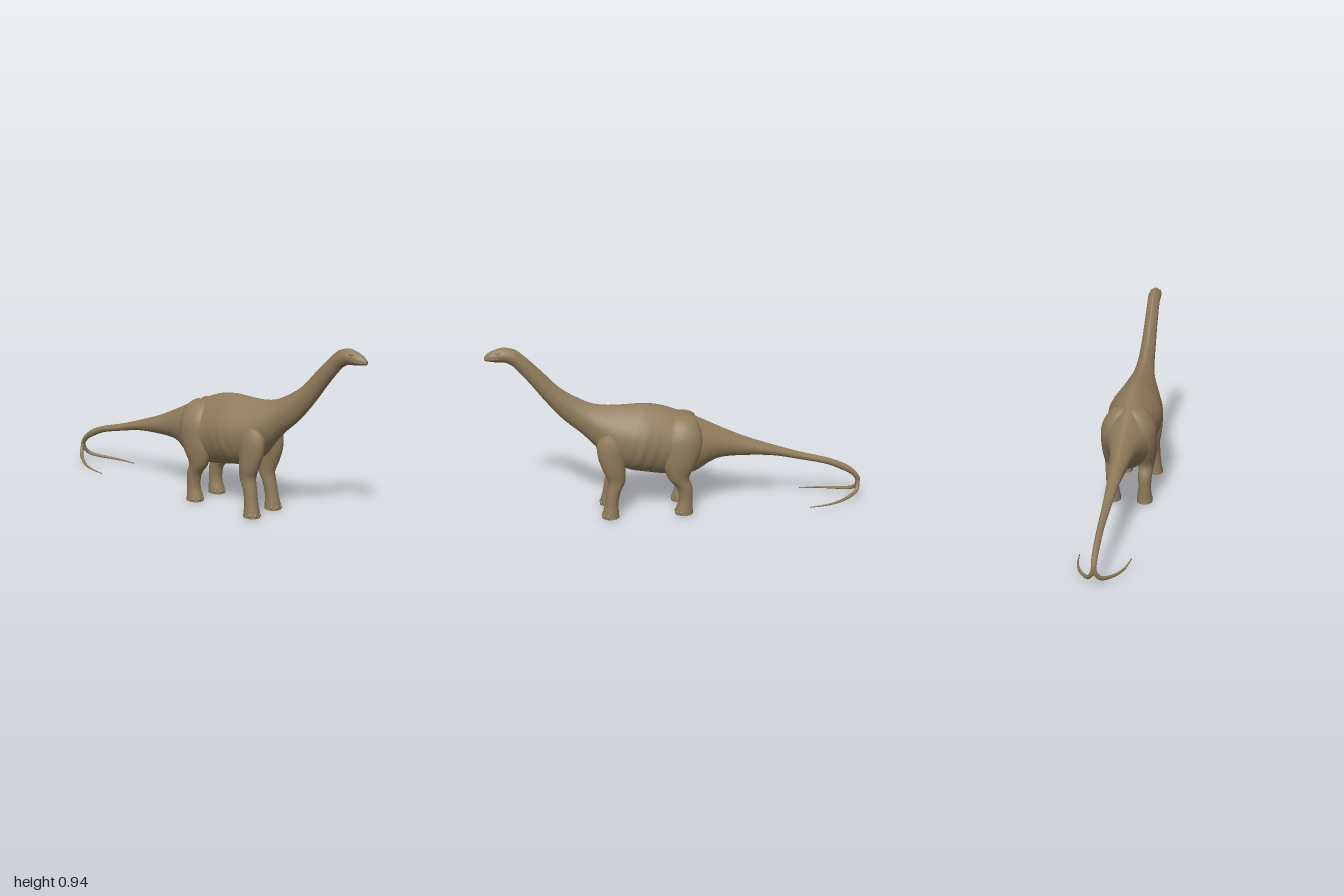
import * as THREE from 'three';

const hide = new THREE.MeshStandardMaterial({ color: 0x8f7b5a });
hide.name = 'brown hide';

// Smoothly subdivide rows of numbers (Catmull-Rom)
function refine(rows, steps) {
  const out = [];
  const last = rows.length - 1;
  for (let i = 0; i < last; i++) {
    const [a, b, c, d] = [rows[Math.max(i - 1, 0)], rows[i], rows[i + 1], rows[Math.min(i + 2, last)]];
    for (let s = 0; s < steps; s++) {
      const t = s / steps;
      out.push(b.map((p, k) => p + 0.5 * t * (c[k] - a[k]
        + t * (2 * a[k] - 5 * p + 4 * c[k] - d[k] + t * (3 * (p - c[k]) + d[k] - a[k])))));
    }
  }
  out.push(rows[last]);
  return out;
}

// Skin closed rings, each running counter-clockwise around the direction of travel
function loft(rings) {
  const n = rings[0].length, pos = [], index = [];
  rings.forEach(r => r.forEach(p => pos.push(p.x, p.y, p.z)));
  for (let i = 0; i < rings.length - 1; i++) {
    for (let j = 0; j < n; j++) {
      const a = i * n + j, b = i * n + (j + 1) % n;
      index.push(a, b, a + n, b, b + n, a + n);
    }
  }
  // End caps with their own vertices so the rims stay crisp
  [rings[0], rings[rings.length - 1]].forEach((ring, end) => {
    const base = pos.length / 3;
    const mid = ring.reduce((m, p) => m.add(p), new THREE.Vector3()).divideScalar(n);
    [...ring, mid].forEach(p => pos.push(p.x, p.y, p.z));
    for (let j = 0; j < n; j++) {
      const a = base + j, b = base + (j + 1) % n;
      if (end) index.push(base + n, a, b); else index.push(base + n, b, a);
    }
  });
  const geo = new THREE.BufferGeometry();
  geo.setAttribute('position', new THREE.Float32BufferAttribute(pos, 3));
  geo.setIndex(index);
  geo.computeVertexNormals();
  return geo;
}

function ring(n, point) {
  return Array.from({ length: n }, (_, j) => point(j / n * Math.PI * 2));
}

function add(parent, name, geo) {
  const mesh = new THREE.Mesh(geo, hide);
  mesh.name = name;
  parent.add(mesh);
  return mesh;
}

function ellipsoid(parent, name, p, r) {
  const mesh = add(parent, name, new THREE.SphereGeometry(1, 16, 12));
  mesh.position.set(...p);
  mesh.scale.set(...r);
  return mesh;
}

// Head to tail: top z, top y, bottom z, bottom y, half width
const BODY = [
  [1.0, .893, .998, .872, .010], [.975, .915, .975, .868, .023], [.945, .928, .94, .863, .031],
  [.90, .938, .905, .862, .036], [.845, .925, .875, .85, .036], [.80, .89, .845, .825, .035],
  [.72, .81, .775, .74, .037], [.63, .715, .70, .64, .041], [.55, .66, .61, .535, .047],
  [.47, .62, .52, .455, .062], [.40, .605, .445, .375, .09], [.33, .602, .37, .29, .118],
  [.26, .603, .28, .245, .138], [.19, .604, .2, .228, .147], [.1, .59, .1, .21, .137],
  [0, .553, 0, .2, .134], [-.08, .52, -.08, .215, .117], [-.15, .485, -.16, .262, .087],
  [-.23, .445, -.23, .283, .064], [-.35, .39, -.36, .284, .044], [-.5, .335, -.51, .272, .03],
  [-.65, .285, -.66, .24, .022], [-.8, .243, -.8, .205, .017], [-.9, .203, -.885, .168, .016],
  [-.965, .157, -.94, .138, .015], [-.997, .11, -.97, .105, .013], [-.996, .085, -.972, .085, .01],
];

// Leg rings from sole to hip: y, x, z, half width, half depth
const FRONT_LEG = [
  [0, .086, .383, .043, .046], [.03, .085, .382, .039, .042], [.08, .083, .376, .035, .036],
  [.14, .08, .365, .036, .037], [.2, .077, .348, .038, .046], [.26, .08, .358, .044, .058],
  [.34, .078, .37, .049, .072], [.42, .07, .365, .052, .08], [.5, .05, .35, .045, .065],
  [.54, .03, .34, .02, .03],
];
const HIND_LEG = [
  [0, .087, -.01, .042, .049], [.03, .086, -.011, .04, .045], [.08, .087, -.018, .034, .037],
  [.15, .088, -.012, .037, .042], [.21, .091, .02, .043, .056], [.28, .094, .015, .052, .083],
  [.36, .09, 0, .06, .102], [.44, .08, -.005, .062, .1], [.51, .05, -.01, .05, .075],
  [.54, .03, -.01, .02, .04],
];

function bodyGeometry() {
  return loft(refine(BODY, 6).map(([zt, yt, zb, yb, w]) => ring(40, a => {
    const c = Math.cos(a), up = Math.max(c, 0);
    const y = (yt + yb) / 2 + c * (yt - yb) / 2;
    const z = (zt + zb) / 2 + c * (zt - zb) / 2;
    // Narrow ridge along the back, shallow ribs on the flank
    const flank = Math.exp(-(((z - .2) / .09) ** 2) - ((y - .36) / .1) ** 2);
    const ribs = 1 + .022 * flank * Math.sin((z + y * .3) * 100);
    return new THREE.Vector3(w * Math.sin(a) * (1 - .45 * up * up) * ribs, y, z);
  })));
}

function leg(name, rows, side) {
  const group = new THREE.Group();
  group.name = name;
  add(group, name + 'Limb', loft(refine(rows, 5).map(([y, x, z, rx, rz]) =>
    ring(28, a => new THREE.Vector3(side * x + rx * Math.sin(a), y, z + rz * Math.cos(a))))));
  // Toes fanned around the front of the foot
  const [, x, z, rx, rz] = rows[0];
  for (const a of [-1.15, -.4, .4, 1.15]) {
    ellipsoid(group, name + 'Toe',
      [side * x + (rx - .008) * Math.sin(a), .013, z + (rz - .008) * Math.cos(a)], [.011, .013, .012]);
  }
  return group;
}

// One of the two curling tips of the forked tail
function tailTip(side) {
  const curve = new THREE.CatmullRomCurve3([
    [0, .11, -.983], [.008, .075, -.984], [.028, .045, -.97], [.055, .028, -.93],
    [.09, .018, -.87], [.115, .013, -.8], [.13, .009, -.69],
  ].map(([x, y, z]) => new THREE.Vector3(side * x, y, z)));
  const n = 48, frames = curve.computeFrenetFrames(n);
  return loft(Array.from({ length: n + 1 }, (_, i) => {
    const p = curve.getPointAt(i / n), r = .012 - .0095 * i / n;
    return ring(12, a => p.clone()
      .addScaledVector(frames.normals[i], r * Math.cos(a))
      .addScaledVector(frames.binormals[i], r * Math.sin(a)));
  }));
}

export function createModel() {
  const model = new THREE.Group();
  model.name = 'longNeckedDinosaur';
  add(model, 'body', bodyGeometry());

  for (const [label, side] of [['left', 1], ['right', -1]]) {
    model.add(leg(label + 'FrontLeg', FRONT_LEG, side));
    model.add(leg(label + 'HindLeg', HIND_LEG, side));
    add(model, label + 'TailTip', tailTip(side));
    // Brow and eye
    ellipsoid(model, label + 'Brow', [side * .024, .916, .925], [.008, .006, .017]);
    ellipsoid(model, label + 'Eye', [side * .028, .907, .93], [.005, .005, .007]);
  }

  // Lip line around the snout
  const lip = new THREE.CatmullRomCurve3([
    [-.031, .887, .925], [-.027, .884, .955], [-.02, .882, .98], [0, .881, .997],
    [.02, .882, .98], [.027, .884, .955], [.031, .887, .925],
  ].map(p => new THREE.Vector3(...p)));
  add(model, 'lip', new THREE.TubeGeometry(lip, 40, .003, 8));
  return model;
}
